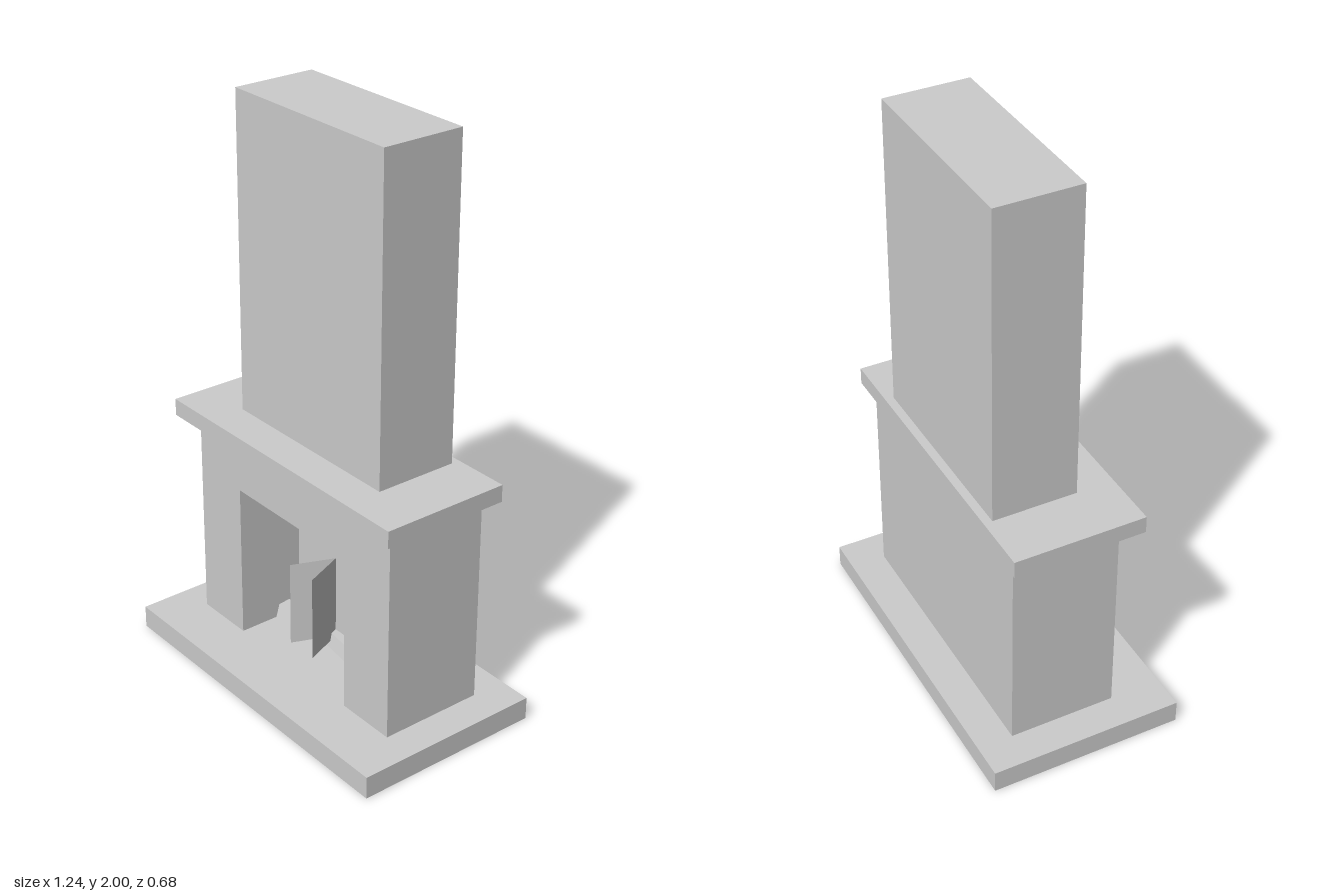
import * as THREE from 'three';

export function createModel() {
  const group = new THREE.Group();
  const stone = new THREE.MeshStandardMaterial({ color: 0xcccccc });
  stone.name = 'paleStone';
  stone.side = THREE.DoubleSide;

  const add = (name, geometry, x = 0, y = 0, z = 0) => {
    const mesh = new THREE.Mesh(geometry, stone);
    mesh.name = name;
    mesh.position.set(x, y, z);
    group.add(mesh);
    return mesh;
  };
  // Box centred on x, given by its half width and its y and z limits
  const slab = (name, halfW, y0, y1, z0, z1) =>
    add(name, new THREE.BoxGeometry(halfW * 2, y1 - y0, z1 - z0), 0, (y0 + y1) / 2, (z0 + z1) / 2);

  slab('hearthBase', 0.62, 0, 0.08, -0.34, 0.34);
  slab('mantelShelf', 0.56, 0.83, 0.89, -0.243, 0.217);
  slab('chimneyBreast', 0.358, 0.89, 2, -0.213, 0.084);

  // Surround with a rectangular fire opening, closed by a back wall
  const wallZ = -0.144;
  const surround = new THREE.Shape([
    [-0.5, 0.08], [-0.28, 0.08], [-0.28, 0.64], [0.28, 0.64],
    [0.28, 0.08], [0.5, 0.08], [0.5, 0.83], [-0.5, 0.83],
  ].map(([x, y]) => new THREE.Vector2(x, y)));
  add('surround', new THREE.ExtrudeGeometry(surround, { depth: 0.158 - wallZ, bevelEnabled: false }), 0, 0, wallZ);
  slab('backWall', 0.5, 0.08, 0.83, -0.216, wallZ);

  // Upright plate in the firebox
  slab('firePlate', 0.203, 0.08, 0.465, -0.05, -0.03);

  // Two five-sided logs and two flame sheets, each pair crossing in an X
  const logR = 0.0415, centreZ = -0.03;
  for (const side of [-1, 1]) {
    const log = new THREE.CylinderGeometry(logR, logR, 0.5, 5).toNonIndexed();
    log.rotateX(Math.PI / 2); // a corner now points down
    log.rotateY(Math.PI / 2);
    log.computeVertexNormals();
    add(side < 0 ? 'rightLog' : 'leftLog', log, 0, 0.08 + logR, centreZ).rotation.y = side * 0.13;

    const flame = add(side < 0 ? 'rightFlame' : 'leftFlame', new THREE.PlaneGeometry(0.318, 0.308), 0, 0.284, centreZ);
    flame.rotation.y = side * Math.atan2(0.147, 0.06);
  }

  return group;
}
